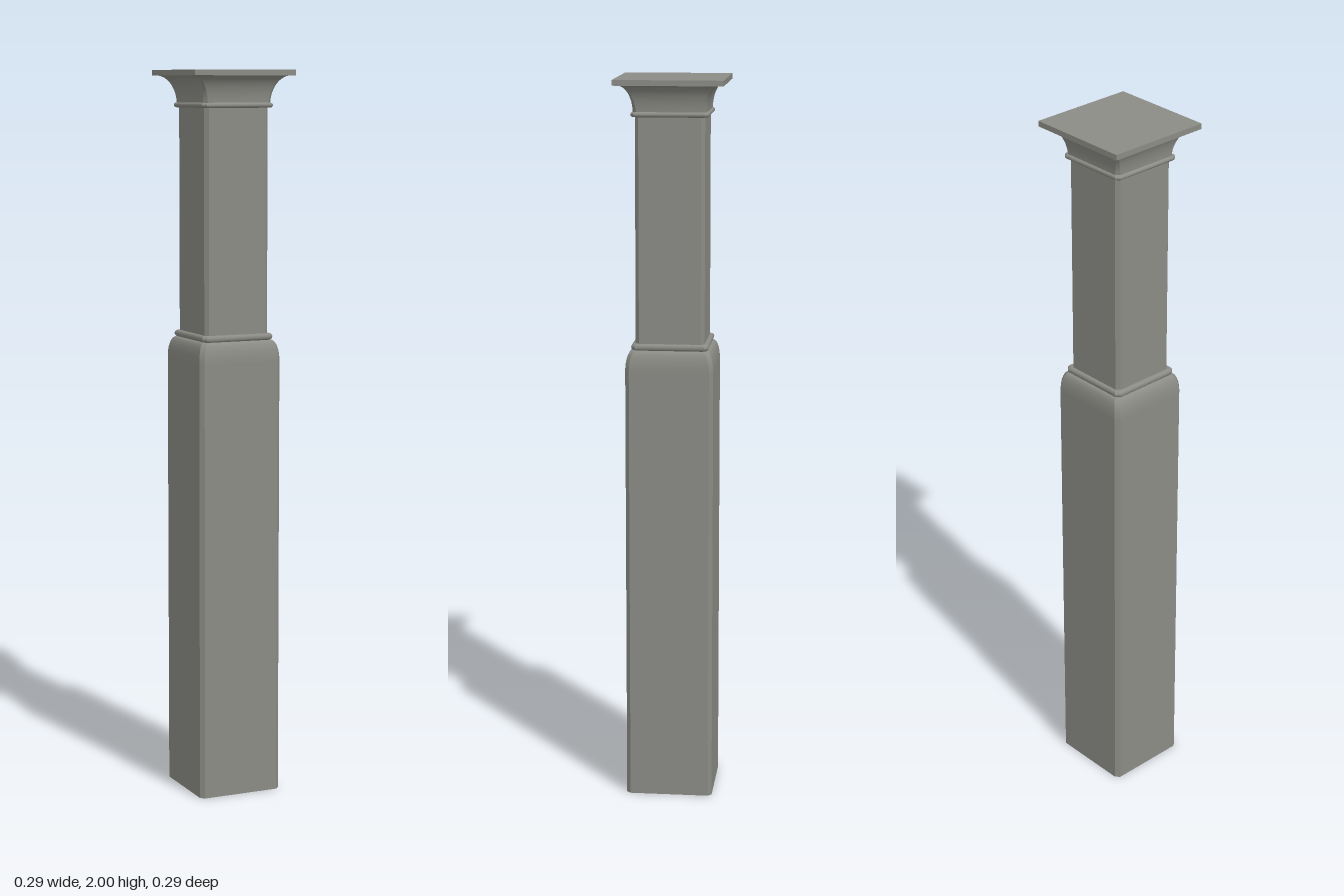
import * as THREE from 'three';

// Square cross-section with cut corners, going from +x towards +z
function ring([half, cut, y]) {
  const k = half - cut;
  return [[half, -k], [half, k], [k, half], [-k, half], [-half, k], [-half, -k], [-k, -half], [k, -half]]
    .map(([x, z]) => [x, y, z]);
}

// Loft rings of [half width, corner cut, y]; smooth up each side, sharp between sides
function loft(profile) {
  const rings = profile.map(ring);
  const pos = [], idx = [];
  for (let s = 0; s < 8; s++) {
    const start = pos.length / 3;
    rings.forEach((r, j) => {
      pos.push(...r[s], ...r[(s + 1) % 8]);
      if (j === 0) return;
      const a = start + (j - 1) * 2;
      idx.push(a, a + 2, a + 1, a + 1, a + 2, a + 3);
    });
  }
  // End faces
  [rings[0], rings[rings.length - 1]].forEach((r, top) => {
    const start = pos.length / 3;
    r.forEach((p) => pos.push(...p));
    for (let i = 1; i < 7; i++) {
      if (top) idx.push(start, start + i + 1, start + i);
      else idx.push(start, start + i, start + i + 1);
    }
  });
  const geo = new THREE.BufferGeometry();
  geo.setAttribute('position', new THREE.Float32BufferAttribute(pos, 3));
  geo.setIndex(idx);
  geo.computeVertexNormals();
  return geo;
}

// Quarter-ellipse arc sampled into profile points
function arc(steps, fn) {
  return Array.from({ length: steps + 1 }, (_, i) => fn((i / steps) * Math.PI / 2, i / steps));
}

export function createModel() {
  const group = new THREE.Group();
  const stone = new THREE.MeshStandardMaterial({ color: 0x8c8c86 });
  stone.name = 'warm grey';

  const add = (name, geometry) => {
    const mesh = new THREE.Mesh(geometry, stone);
    mesh.name = name;
    group.add(mesh);
  };

  // Wide lower post and its rounded shoulder
  add('lowerPost', loft([[0.12, 0.011, 0], [0.12, 0.011, 1.215]]));
  add('shoulder', loft(arc(10, (t) => [0.102 + 0.018 * Math.cos(t), 0.011, 1.215 + 0.055 * Math.sin(t)])));

  // Narrow upper shaft
  add('upperShaft', loft([[0.094, 0.01, 1.27], [0.094, 0.01, 1.91]]));

  // Thin rounded collars at both ends of the shaft
  const collar = (y, h) => loft(Array.from({ length: 9 }, (_, i) => {
    const t = (i / 8 - 0.5) * Math.PI;
    return [0.098 + 0.007 * Math.cos(t), 0.01, y + h / 2 + (h / 2) * Math.sin(t)];
  }));
  add('lowerCollar', collar(1.27, 0.018));
  add('upperCollar', collar(1.899, 0.014));

  // Flared cove whose cut corners taper to a point
  add('capitalCove', loft(arc(12, (t, f) =>
    [0.138 - 0.039 * Math.cos(t), 0.01 * (1 - f), 1.911 + 0.074 * Math.sin(t)])));

  // Square top slab
  const slab = new THREE.BoxGeometry(0.295, 0.015, 0.295);
  slab.translate(0, 1.9925, 0);
  add('topSlab', slab);

  return group;
}
